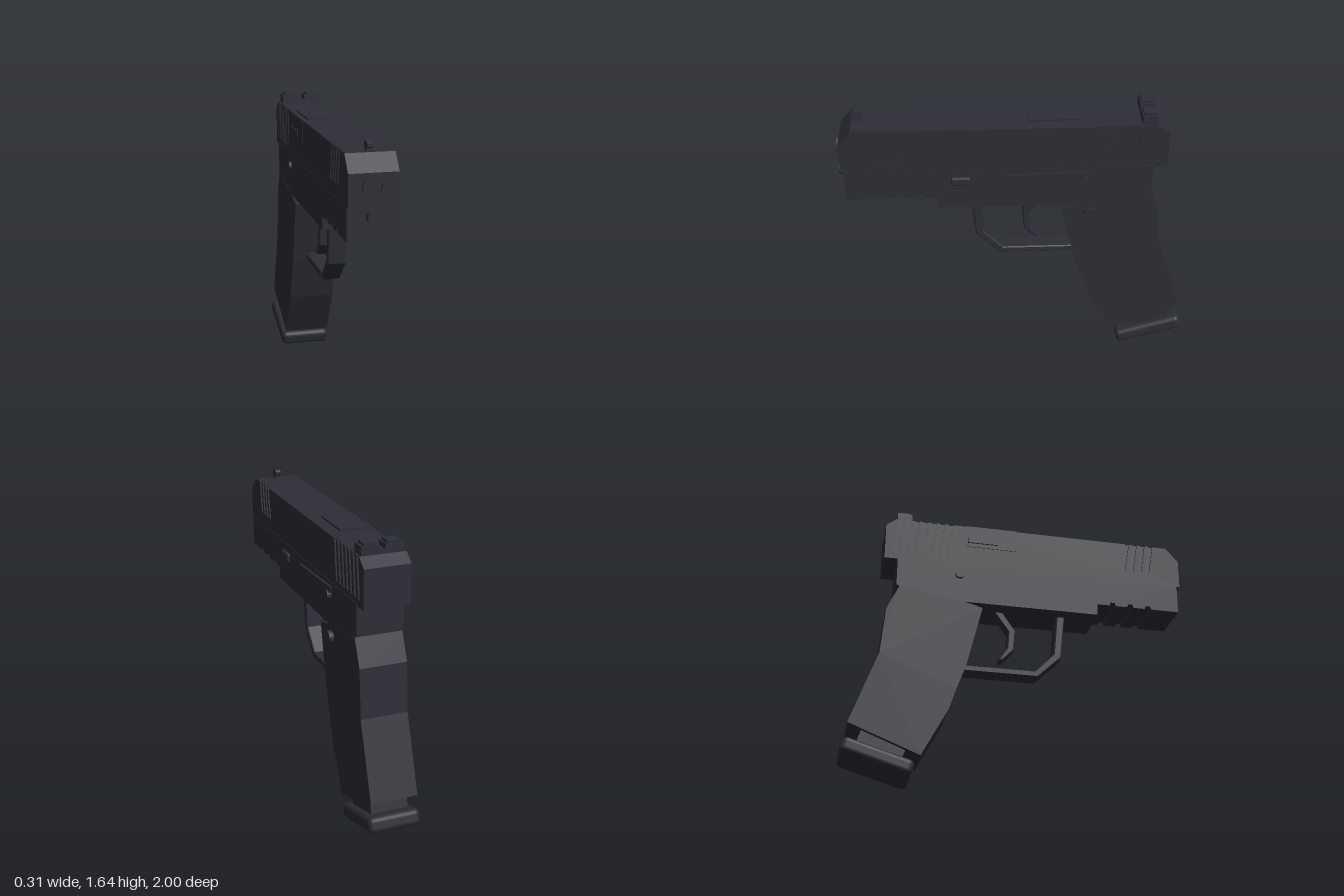
import * as THREE from 'three';
import { RoundedBoxGeometry } from 'three/addons/geometries/RoundedBoxGeometry.js';

const MID = -0.0075; // centre line of the body in x

export function createModel() {
  const model = new THREE.Group();
  const gunmetal = new THREE.MeshStandardMaterial({ color: 0x2d2d36 });
  gunmetal.name = 'gunmetal';

  const add = (name, geometry) => {
    const mesh = new THREE.Mesh(geometry, gunmetal);
    mesh.name = name;
    model.add(mesh);
    return mesh;
  };
  // Side profile of [z, y] points, extruded from x0 to x1
  const profile = (name, points, x0, x1, bevel = 0) => {
    const shape = new THREE.Shape(points.map(([z, y]) => new THREE.Vector2(z, y)));
    const geometry = new THREE.ExtrudeGeometry(shape, {
      depth: x1 - x0 - 2 * bevel, bevelEnabled: bevel > 0,
      bevelSize: bevel, bevelThickness: bevel, bevelOffset: -bevel, bevelSegments: 1, curveSegments: 6,
    });
    geometry.rotateY(-Math.PI / 2).translate(x1 - bevel, 0, 0);
    return add(name, geometry);
  };
  const box = (name, x0, x1, y0, y1, z0, z1) => {
    const mesh = add(name, new THREE.BoxGeometry(x1 - x0, y1 - y0, z1 - z0));
    mesh.position.set((x0 + x1) / 2, (y0 + y1) / 2, (z0 + z1) / 2);
    return mesh;
  };
  // Round pin lying along x
  const pin = (name, x0, x1, y, z, r) => {
    const mesh = add(name, new THREE.CylinderGeometry(r, r, x1 - x0, 24));
    mesh.rotation.z = Math.PI / 2;
    mesh.position.set((x0 + x1) / 2, y, z);
  };

  // Slide: narrow core with side skins notched by slanted serrations
  const front = [[0.98, 1.315], [0.98, 1.49], [0.905, 1.577]];
  const rear = [[-0.756, 1.577], [-0.817, 1.53], [-0.817, 1.31]];
  profile('slideCore', [...front, ...rear], -0.128, 0.114);
  const skin = [...front];
  const serrate = (start, count, bottom) => {
    for (let i = 0; i < count; i++) {
      const z = start - i * 0.05;
      skin.push([z, 1.577], [z - 0.03, bottom], [z - 0.055, bottom], [z - 0.025, 1.577]);
    }
  };
  serrate(0.82, 4, 1.39);
  serrate(-0.42, 7, 1.35);
  skin.push(...rear);
  profile('slideSideRight', skin, -0.138, -0.128);
  profile('slideSideLeft', skin, 0.114, 0.123);

  // Barrel ring, bore and guide rod
  const ring = new THREE.Shape().absarc(0, 0, 0.06, 0, Math.PI * 2);
  ring.holes.push(new THREE.Path().absarc(0, 0, 0.042, 0, Math.PI * 2, true));
  add('muzzleRing', new THREE.ExtrudeGeometry(ring, { depth: 0.05, bevelEnabled: false, curveSegments: 16 }))
    .position.set(MID, 1.425, 0.945);
  const rod = add('guideRod', new THREE.CylinderGeometry(0.034, 0.034, 0.08, 24));
  rod.rotation.x = Math.PI / 2;
  rod.position.set(MID, 1.263, 0.96);

  // Ejection port cover on the top and right side
  box('portTop', -0.108, 0.05, 1.56, 1.587, -0.33, -0.05);
  box('portSide', -0.142, -0.12, 1.44, 1.579, -0.34, -0.035);
  box('portLedge', -0.15, -0.13, 1.465, 1.5, -0.33, -0.15);

  // Sights
  profile('frontSight', [[0.895, 1.57], [0.895, 1.595], [0.906, 1.602], [0.906, 1.62], [0.895, 1.627],
    [0.855, 1.627], [0.847, 1.618], [0.847, 1.602], [0.853, 1.595], [0.853, 1.57]], MID - 0.015, MID + 0.015);
  box('rearSightBase', -0.125, 0.11, 1.572, 1.598, -0.75, -0.665);
  for (const side of [-1, 1]) {
    const a = MID + side * 0.016, b = MID + side * 0.117;
    box('rearSightBlock', Math.min(a, b), Math.max(a, b), 1.59, 1.625, -0.75, -0.665);
    const c = MID + side * 0.028, d = MID + side * 0.103;
    box('rearSightTop', Math.min(c, d), Math.max(c, d), 1.62, 1.639, -0.743, -0.672);
  }

  // Frame with notched accessory rail
  const frame = [[-0.74, 1.32], [0.96, 1.32], [0.96, 1.14]];
  for (const z of [0.79, 0.68, 0.57]) {
    frame.push([z, 1.14], [z - 0.007, 1.16], [z - 0.033, 1.16], [z - 0.04, 1.14]);
  }
  frame.push([0.455, 1.14], [0.455, 1.07], [-0.36, 1.07], [-0.72, 1.13], [-0.74, 1.14]);
  profile('frame', frame, -0.14, 0.126);

  // Grip
  profile('grip', [[-0.35, 1.07], [-0.236, 1.04], [-0.327, 0.66], [-0.375, 0.525], [-0.418, 0.391],
    [-0.563, 0.113], [-0.965, 0.273], [-0.815, 0.7], [-0.79, 0.98], [-0.72, 1.135]], -0.142, 0.128);

  // Magazine neck and rounded floor plate
  profile('magazineNeck', [[-0.62, 0.2], [-0.67, 0.08], [-0.915, 0.155], [-0.87, 0.3]], -0.115, 0.1);
  const plate = add('magazineBase', new RoundedBoxGeometry(0.3, 0.09, 0.408, 4, 0.03));
  plate.position.set(MID, 0.095, -0.795);
  plate.rotation.x = 0.293;

  // Trigger guard and trigger
  profile('triggerGuard', [[0.273, 1.075], [0.247, 0.805], [0.107, 0.67], [-0.36, 0.67],
    [-0.36, 0.708], [0.091, 0.708], [0.204, 0.826], [0.225, 1.075]], -0.06, 0.045, 0.006);
  profile('trigger', [[-0.1, 1.075], [-0.021, 0.96], [-0.032, 0.836], [-0.1, 0.762], [-0.12, 0.768],
    [-0.07, 0.847], [-0.064, 0.95], [-0.15, 1.075]], -0.045, 0.03, 0.006);

  // Controls
  profile('slideStop', [[0.128, 1.222], [0.075, 1.28], [-0.405, 1.3], [-0.385, 1.255], [-0.35, 1.232]], 0.11, 0.14);
  pin('slideStopPinLeft', 0.1, 0.15, 1.246, -0.365, 0.027);
  pin('slideStopPinRight', -0.156, -0.12, 1.246, -0.375, 0.027);
  const catchPlate = add('takedownCatch', new RoundedBoxGeometry(0.05, 0.052, 0.108, 2, 0.01));
  catchPlate.position.set(0.12, 1.25, 0.322);
  pin('magazineRelease', 0.1, 0.154, 1.013, -0.4, 0.036);

  return model;
}
